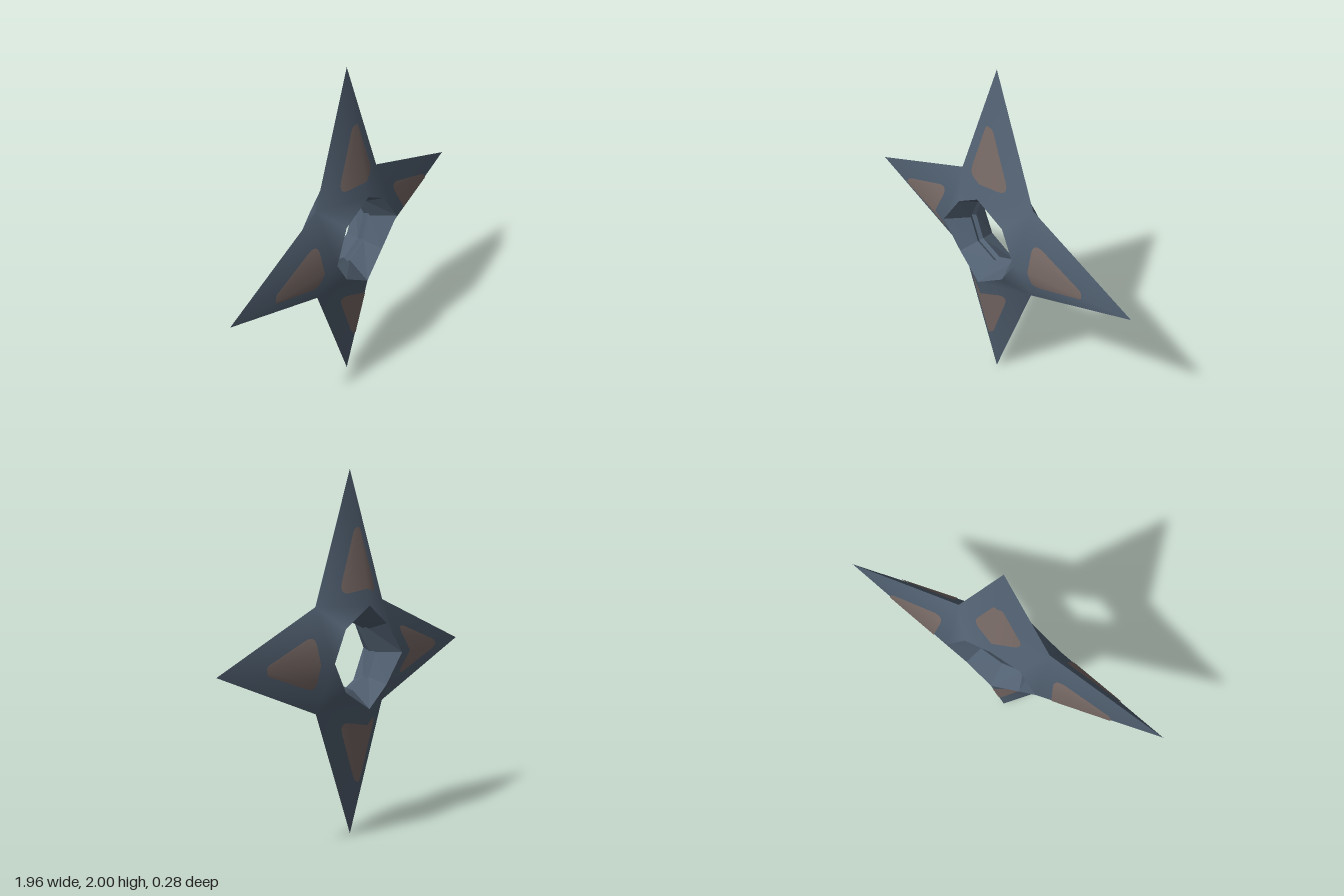
import * as THREE from 'three';

const steel = new THREE.MeshStandardMaterial({ color: 0x526172 });
steel.name = 'blueSteel';
const brown = new THREE.MeshStandardMaterial({ color: 0x786a66 });
brown.name = 'wornBrown';

const TIP_SLOPE = 0.1944; // fall of a blade from hub to tip
const SIDE_SLOPE = 0.505; // fall of a blade from ridge to edge

// Ring of eight points; even ones lie on the blade axes, odd ones between them
function ring(rEven, zEven, rOdd = rEven, zOdd = zEven) {
  return Array.from({ length: 8 }, (_, k) => {
    const a = (k * Math.PI) / 4;
    const r = k % 2 ? rOdd : rEven;
    return [r * Math.cos(a), r * Math.sin(a), k % 2 ? zOdd : zEven];
  });
}

function indexed(points, index) {
  const g = new THREE.BufferGeometry();
  g.setAttribute('position', new THREE.Float32BufferAttribute(points.flat(), 3));
  g.setIndex(index);
  return g;
}

// One face of the four blades, ridged along each axis
function bladesGeometry() {
  const points = ring(0.28, 0.14, 0.24, 0.12);
  for (let k = 0; k < 4; k++) {
    const a = (k * Math.PI) / 2;
    const tip = k % 2 ? 1 : 0.98;
    points.push([tip * Math.cos(a), tip * Math.sin(a), 0]); // 8..11
  }
  for (const [sx, sy] of [[1, 1], [-1, 1], [-1, -1], [1, -1]]) {
    points.push([sx * 0.275, sy * 0.285, 0]); // 12..15
  }
  const index = [];
  for (let k = 0; k < 4; k++) {
    const a = 2 * k, d = a + 1, b = (a + 2) % 8;
    const tip = 8 + k, nextTip = 8 + ((k + 1) % 4), corner = 12 + k;
    index.push(a, tip, corner, a, corner, d, d, corner, b, b, corner, nextTip);
  }
  const g = indexed(points, index);
  g.computeVertexNormals();
  return g;
}

// Faceted band from an outer ring down to an inner one
function bandGeometry(outer, inner) {
  const index = [];
  for (let k = 0; k < 8; k++) {
    const n = (k + 1) % 8;
    index.push(k, n, 8 + n, k, 8 + n, 8 + k);
  }
  const g = indexed([...outer, ...inner], index).toNonIndexed();
  g.computeVertexNormals();
  return g;
}

// Half of a rounded triangular patch, laid on one side of a blade's ridge
function patchGeometry(side) {
  const s = new THREE.Shape();
  s.moveTo(0, 0.37);
  s.lineTo(side * 0.095, 0.35);
  s.quadraticCurveTo(side * 0.15, 0.34, side * 0.126, 0.41);
  s.lineTo(side * 0.03, 0.67);
  s.quadraticCurveTo(side * 0.018, 0.695, 0, 0.695);
  s.closePath();
  const g = new THREE.ShapeGeometry(s, 6);
  const p = g.attributes.position;
  const n = new THREE.Vector3();
  for (let i = 0; i < p.count; i++) {
    const u = p.getX(i), r = p.getY(i);
    p.setZ(i, TIP_SLOPE * (1 - r) - SIDE_SLOPE * Math.abs(u) + 0.003);
    // Normals roll softly over the ridge, as on the blade
    const across = u / (0.385 * (1 - r));
    n.set(SIDE_SLOPE * across, TIP_SLOPE, 1).normalize();
    g.attributes.normal.setXYZ(i, n.x, n.y, n.z);
  }
  return g;
}

export function createModel() {
  const model = new THREE.Group();
  model.name = 'throwingStar';
  const add = (parent, name, geometry, material) => {
    const mesh = new THREE.Mesh(geometry, material);
    mesh.name = name;
    parent.add(mesh);
  };

  const blades = bladesGeometry();
  const rim = ring(0.28, 0.14, 0.24, 0.12);
  const lip = ring(0.19, 0.02);
  const bevel = bandGeometry(rim, lip);
  const groove = bandGeometry(lip, ring(0.205, 0));
  const patches = [patchGeometry(1), patchGeometry(-1)];

  // Identical front and back halves
  for (const [i, name] of ['front', 'back'].entries()) {
    const half = new THREE.Group();
    half.name = name + 'Half';
    half.position.y = 1;
    half.rotation.y = i * Math.PI;
    add(half, name + 'Blades', blades, steel);
    add(half, name + 'HoleBevel', bevel, steel);
    add(half, name + 'HoleGroove', groove, steel);
    for (let k = 0; k < 4; k++) {
      const arm = new THREE.Group();
      arm.name = name + 'BladePatch';
      arm.rotation.z = (k * Math.PI) / 2;
      for (const g of patches) add(arm, 'patchHalf', g, brown);
      half.add(arm);
    }
    model.add(half);
  }
  return model;
}
